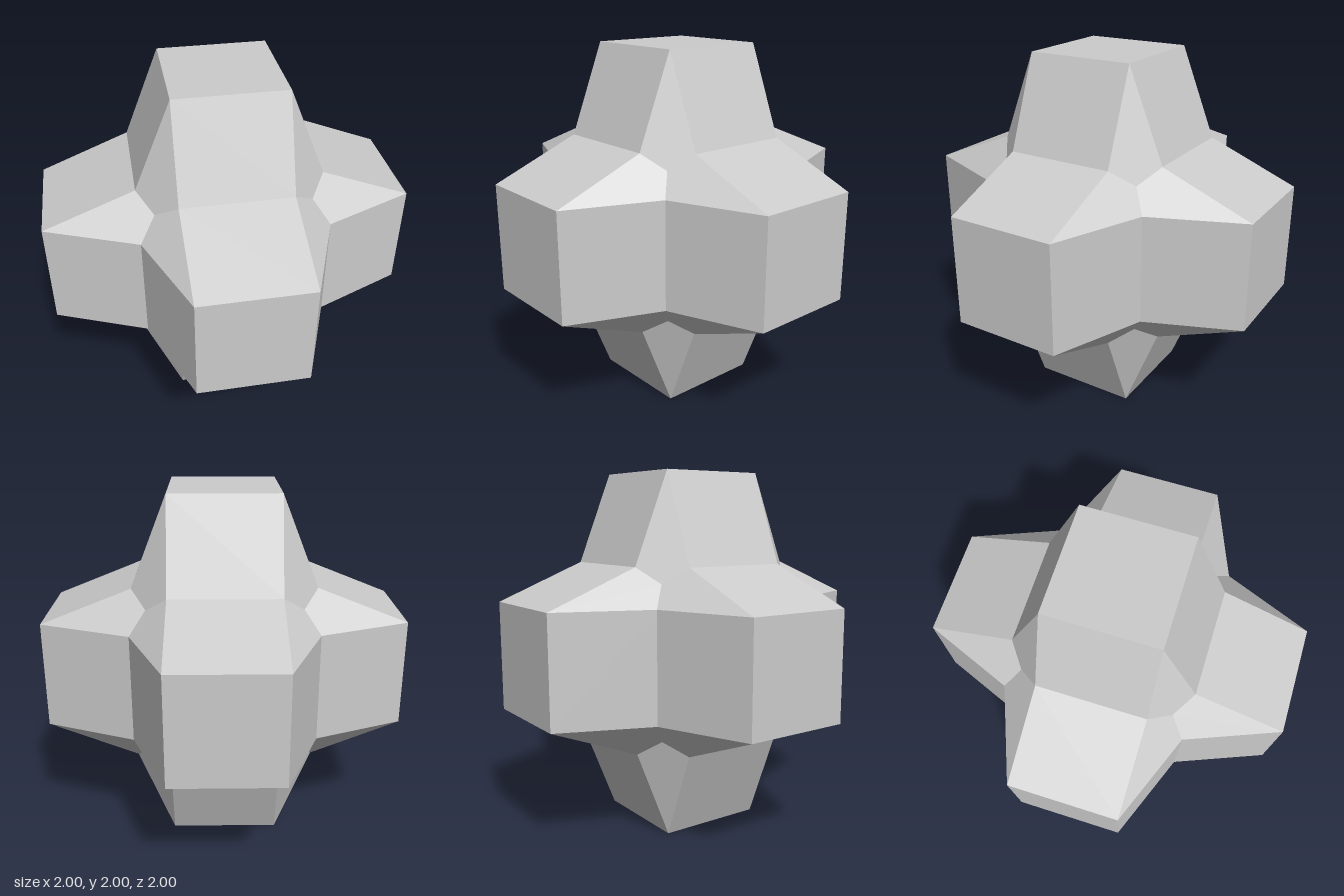
import * as THREE from 'three';

const END = 1;          // distance from centre to the end of an arm
const HALF = 0.3;       // half width of the square end
const RIDGE = 0.5;      // where the sloped sides of two arms meet
const CORNER = 5 / 12;  // inner corner shared by three arms, keeps the kites planar

// One tapered arm along +z: square end, four sloped sides, four corner kites.
function armGeometry() {
  const points = [];
  const addQuad = (a, b, c, d, turn = 0) => {
    const angle = turn * Math.PI / 2;
    const [p, q, r, s] = [a, b, c, d].map((v) =>
      new THREE.Vector3(...v).applyAxisAngle(new THREE.Vector3(0, 0, 1), angle));
    points.push(p, q, r, p, r, s);
  };

  // Square end
  addQuad([-HALF, -HALF, END], [HALF, -HALF, END], [HALF, HALF, END], [-HALF, HALF, END]);

  for (let turn = 0; turn < 4; turn++) {
    // Sloped side
    addQuad([HALF, -HALF, END], [RIDGE, -HALF, RIDGE],
      [RIDGE, HALF, RIDGE], [HALF, HALF, END], turn);
    // Corner kite
    addQuad([HALF, HALF, END], [RIDGE, HALF, RIDGE],
      [CORNER, CORNER, CORNER], [HALF, RIDGE, RIDGE], turn);
  }

  const geometry = new THREE.BufferGeometry().setFromPoints(points);
  geometry.computeVertexNormals();
  return geometry;
}

export function createModel() {
  const model = new THREE.Group();
  model.name = 'sixArmedBlock';

  const geometry = armGeometry();
  const material = new THREE.MeshStandardMaterial({ color: 0xcccccc, flatShading: true });
  const quarter = Math.PI / 2;

  // Six identical arms, each turned from +z
  const arms = [
    ['frontArm', 0, 0],
    ['leftArm', 0, quarter],
    ['backArm', 0, Math.PI],
    ['rightArm', 0, -quarter],
    ['topArm', -quarter, 0],
    ['bottomArm', quarter, 0],
  ];
  for (const [name, turnX, turnY] of arms) {
    const arm = new THREE.Mesh(geometry, material);
    arm.name = name;
    arm.rotation.set(turnX, turnY, 0);
    arm.position.y = END;
    model.add(arm);
  }
  return model;
}
